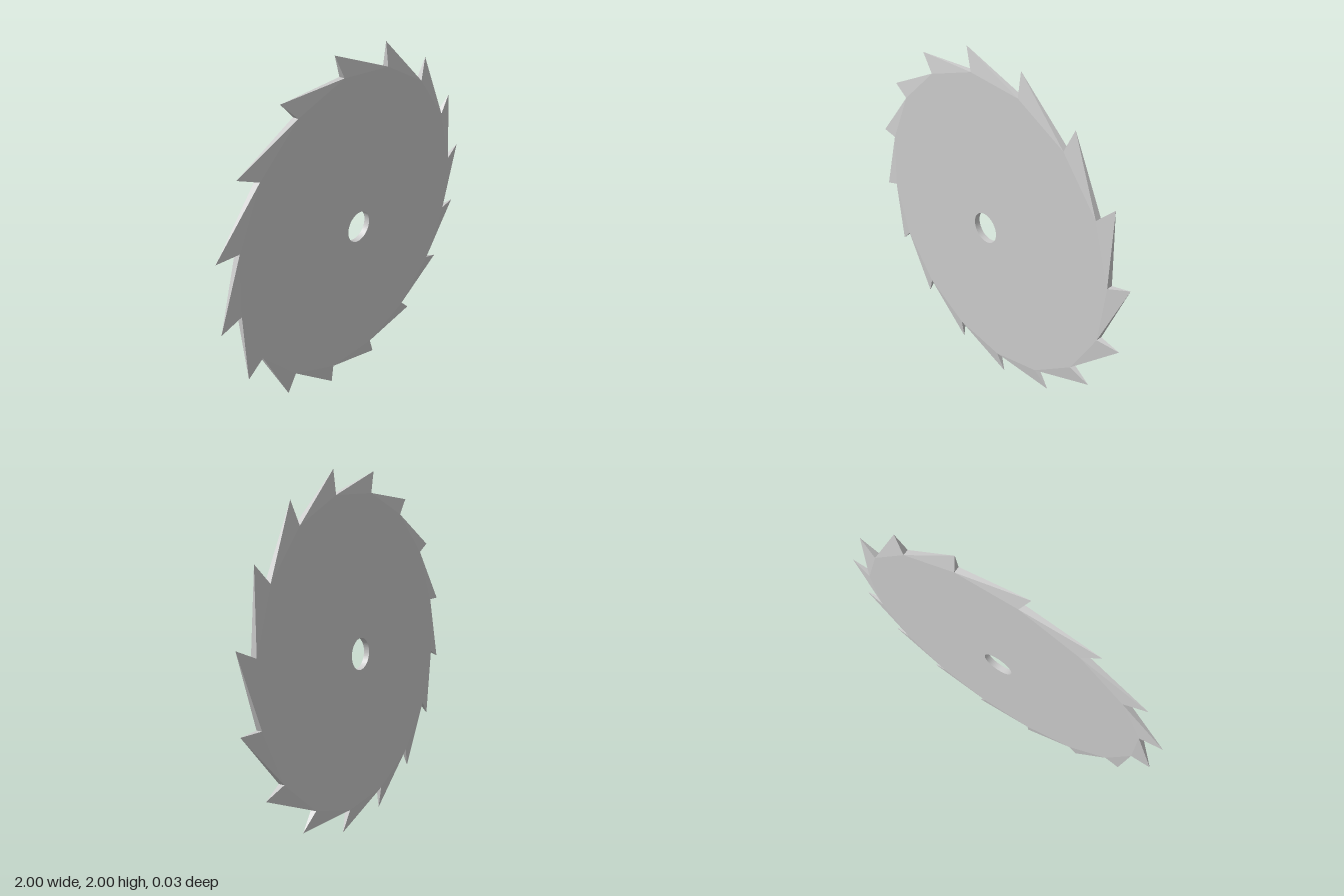
import * as THREE from 'three';

const TEETH = 16;
const STEP = (Math.PI * 2) / TEETH;
const HALF = 0.017;            // half the plate thickness
const ROOT_R = 0.887;          // radius at the gullets
const TIP_R = 1.013;           // radius at the tooth tips
const ROOT_A = THREE.MathUtils.degToRad(7.1);
const TIP_A = THREE.MathUtils.degToRad(9.1);

const polar = (r, a, z = 0) => new THREE.Vector3(r * Math.cos(a), r * Math.sin(a), z);

// Flat plate: polygon through the gullets with a round arbor hole
function plateGeometry() {
  const corners = [];
  for (let i = 0; i < TEETH; i++) {
    const p = polar(ROOT_R, ROOT_A + i * STEP);
    corners.push(new THREE.Vector2(p.x, p.y));
  }
  const shape = new THREE.Shape(corners);
  shape.holes.push(new THREE.Path().absarc(0, 0, 0.09, 0, Math.PI * 2, true));
  const geo = new THREE.ExtrudeGeometry(shape, { depth: 2 * HALF, bevelEnabled: false, curveSegments: 32 });
  return geo.translate(0, 0, -HALF);
}

// One tooth: a full-thickness root narrowing to a single hooked point
function toothGeometry() {
  const backF = polar(ROOT_R, ROOT_A - STEP, HALF);
  const backB = polar(ROOT_R, ROOT_A - STEP, -HALF);
  const gulletF = polar(ROOT_R, ROOT_A, HALF);
  const gulletB = polar(ROOT_R, ROOT_A, -HALF);
  const tip = polar(TIP_R, TIP_A);
  const geo = new THREE.BufferGeometry().setFromPoints([
    backF, tip, gulletF,       // front bevel
    backB, gulletB, tip,       // rear bevel
    backF, backB, tip,         // long back edge
    gulletB, gulletF, tip,     // steep cutting face
  ]);
  geo.computeVertexNormals();
  return geo;
}

export function createModel() {
  const model = new THREE.Group();
  model.name = 'circularSawBlade';
  const steel = new THREE.MeshStandardMaterial({ color: 0xcccccc, flatShading: true });

  const plate = new THREE.Mesh(plateGeometry(), steel);
  plate.name = 'bladePlate';
  plate.position.y = 1;
  model.add(plate);

  // Ring of teeth
  const teeth = new THREE.Group();
  teeth.name = 'teeth';
  teeth.position.y = 1;
  const geo = toothGeometry();
  for (let i = 0; i < TEETH; i++) {
    const tooth = new THREE.Mesh(geo, steel);
    tooth.name = `tooth${i + 1}`;
    tooth.rotation.z = i * STEP;
    teeth.add(tooth);
  }
  model.add(teeth);
  return model;
}
